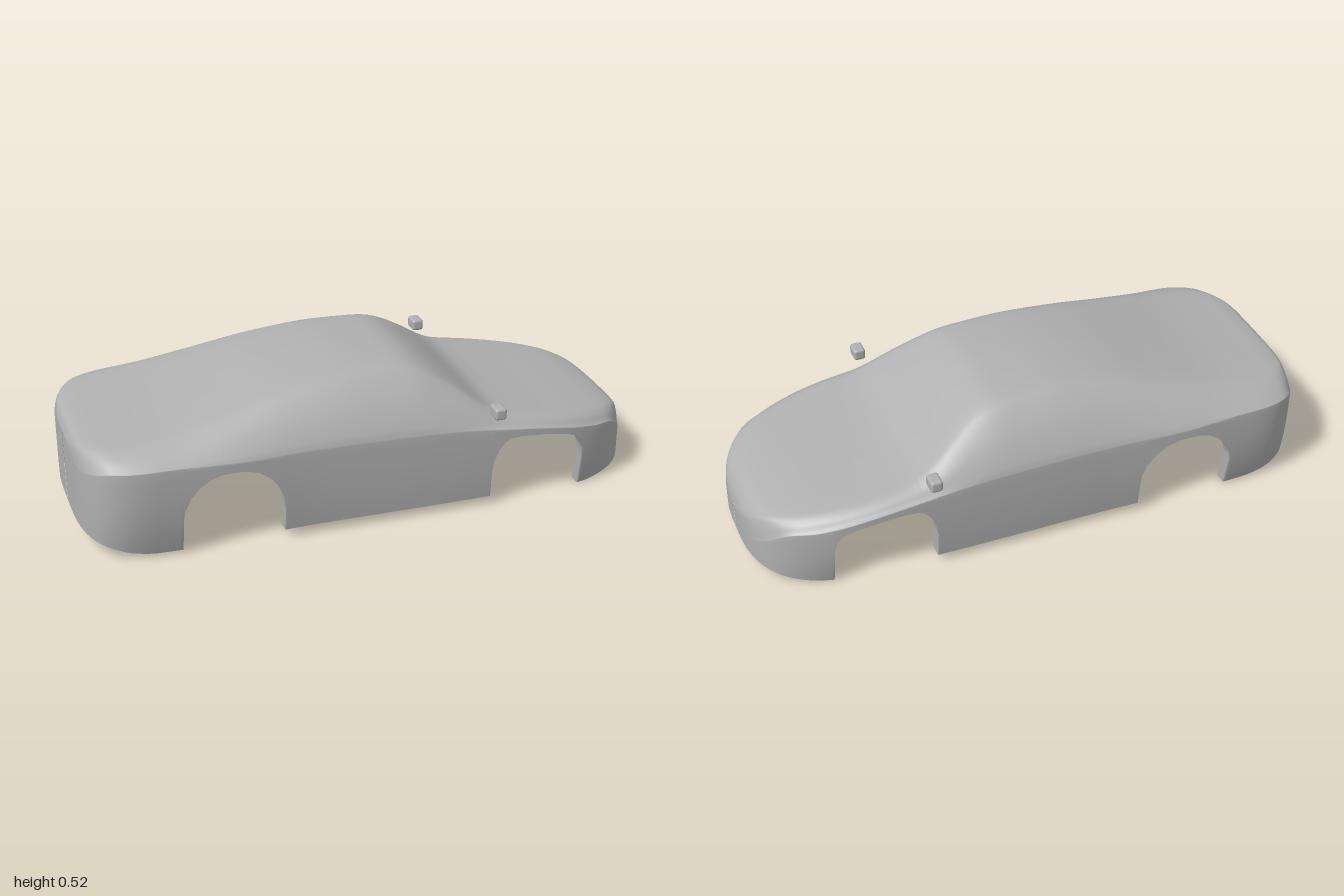
import * as THREE from 'three';
import { RoundedBoxGeometry } from 'three/addons/geometries/RoundedBoxGeometry.js';

// Smooth (Hermite) or straight lookup through [x, value] pairs
function lookup(pts, x, smooth = true) {
  const n = pts.length - 1;
  if (x <= pts[0][0]) return pts[0][1];
  if (x >= pts[n][0]) return pts[n][1];
  let i = 0;
  while (x > pts[i + 1][0]) i++;
  const [x0, y0] = pts[i], [x1, y1] = pts[i + 1];
  const h = x1 - x0, t = (x - x0) / h;
  if (!smooth) return y0 + (y1 - y0) * t;
  const slope = (k) => {
    const a = pts[Math.max(k - 1, 0)], b = pts[Math.min(k + 1, n)];
    return (b[1] - a[1]) / (b[0] - a[0]);
  };
  const t2 = t * t, t3 = t2 * t;
  return y0 * (2 * t3 - 3 * t2 + 1) + y1 * (3 * t2 - 2 * t3)
    + h * (slope(i) * (t3 - 2 * t2 + t) + slope(i + 1) * (t3 - t2));
}

// Body outlines along the length
const TOP = [[-1, 0.32], [-0.985, 0.35], [-0.95, 0.364], [-0.85, 0.378], [-0.7, 0.4], [-0.5, 0.445],
  [-0.3, 0.492], [-0.1, 0.519], [0.05, 0.519], [0.15, 0.51], [0.22, 0.482], [0.3, 0.43], [0.4, 0.356],
  [0.46, 0.328], [0.6, 0.3], [0.8, 0.268], [0.9, 0.246], [0.96, 0.222], [0.99, 0.185], [1, 0.15]];
const BELT = [[-1, 0.28], [-0.9, 0.325], [-0.4, 0.32], [0.2, 0.305], [0.4, 0.29],
  [0.6, 0.265], [0.8, 0.225], [0.9, 0.2], [1, 0.1]];
const WIDTH = [[-1, 0.415], [-0.7, 0.417], [-0.5, 0.42], [-0.2, 0.405], [0.4, 0.4], [1, 0.4]];
const ROOF = [[-1, 0.75], [-0.9, 0.76], [-0.6, 0.72], [-0.3, 0.68], [0, 0.66], [0.2, 0.68],
  [0.4, 0.82], [0.6, 0.86], [1, 0.82]];
const TUCK = [[-1, 0.08], [-0.7, 0.07], [-0.3, 0.04], [0.4, 0.04], [0.75, 0.12], [1, 0.08]];
const SILL = [[-1, 0.06], [-0.85, 0.02], [-0.78, 0.01], [-0.68, 0.01], [-0.34, 0.033], [0.4, 0.03],
  [0.75, 0], [0.8, 0.002], [0.88, 0.013], [0.95, 0.028], [1, 0.038]];

// Wheel openings, from rear edge to front edge
const ARCHES = {
  rear: [[-0.685, 0.14], [-0.68, 0.17], [-0.66, 0.215], [-0.63, 0.25], [-0.59, 0.277], [-0.55, 0.289],
    [-0.48, 0.289], [-0.43, 0.274], [-0.39, 0.245], [-0.36, 0.207], [-0.343, 0.165], [-0.339, 0.12]],
  front: [[0.402, 0.13], [0.408, 0.17], [0.425, 0.21], [0.445, 0.235], [0.47, 0.248], [0.51, 0.251],
    [0.6, 0.242], [0.68, 0.227], [0.72, 0.21], [0.742, 0.185], [0.753, 0.15], [0.755, 0.11]],
};

function halfWidth(x) {
  const r = Math.max(0, (-0.7 - x) / 0.3), f = Math.max(0, (x - 0.4) / 0.6);
  const taper = Math.pow(Math.max(0, 1 - r ** 3.5), 1 / 3.5) * Math.cbrt(Math.max(0, 1 - f ** 3));
  return Math.max(0.002, lookup(WIDTH, x) * taper);
}

// Depth of the flank at a given length and height
function flank(x, y) {
  const q = Math.max(0, (lookup(BELT, x) - y) / 0.28);
  return halfWidth(x) * (1 - lookup(TUCK, x) * q ** 2.5);
}

function lowerEdge(x) {
  for (const a of Object.values(ARCHES)) {
    if (x >= a[0][0] && x <= a[a.length - 1][0]) return lookup(a, x, false);
  }
  return lookup(SILL, x, false);
}

// Half cross-section from the lower edge up to the centre line
function halfSection(x) {
  const T = lookup(TOP, x), B = lookup(BELT, x), w = halfWidth(x), r = w * lookup(ROOF, x);
  const corner = T - 0.14 * (T - B), low = lowerEdge(x), out = [];
  for (let j = 0; j < 10; j++) {
    const y = low + (B - low) * j / 10;
    out.push([y, flank(x, y)]);
  }
  const P = (z, y) => new THREE.Vector3(0, y, z);
  const upper = new THREE.CatmullRomCurve3([
    P(w, B), P(w * 0.972, B + 0.14 * (T - B)),
    P((r + w) / 2, B + 0.55 * (T - B)),
    P(r, corner), P(r * 0.88, T - 0.07 * (T - B)),
    P(r * 0.5, T - 0.02 * (T - B)), P(0, T),
  ]);
  for (let j = 0; j <= 30; j++) {
    const p = upper.getPoint(j / 30);
    out.push([p.y, p.z]);
  }
  return out;
}

// Smooth surface through equal-length rows of points
function loft(rows) {
  const m = rows[0].length, index = [];
  for (let i = 0; i < rows.length - 1; i++) {
    for (let j = 0; j < m - 1; j++) {
      const a = i * m + j, b = a + m;
      index.push(a, b, a + 1, b, b + 1, a + 1);
    }
  }
  const g = new THREE.BufferGeometry();
  g.setAttribute('position', new THREE.Float32BufferAttribute(rows.flat(2), 3));
  g.setIndex(index);
  g.computeVertexNormals();
  return g;
}

function bodyShell() {
  const xs = [];
  for (let i = 0; i <= 130; i++) xs.push(-Math.cos(Math.PI * i / 130));
  for (const a of Object.values(ARCHES)) {
    a.forEach((p) => xs.push(p[0]));
    xs.push(a[0][0] - 0.0005, a[a.length - 1][0] + 0.0005);
  }
  xs.sort((a, b) => a - b);
  return loft(xs.map((x) => {
    const half = halfSection(x);
    const left = half.map(([y, z]) => [x, y, z]);
    const right = half.slice(0, -1).reverse().map(([y, z]) => [x, y, -z]);
    return [...left, ...right];
  }));
}

// Inward return around a wheel opening
function archLip(arch, side) {
  const first = arch[0][0], last = arch[arch.length - 1][0];
  const path = [[first, lookup(SILL, first - 0.001, false)], ...arch,
    [last, lookup(SILL, last + 0.001, false)]];
  return loft(path.map(([x, y]) => {
    const z = flank(x, y);
    return [[x, y, side * z], [x, y, side * (z - 0.045)]];
  }));
}

export function createModel() {
  const model = new THREE.Group();
  model.name = 'carBody';
  const paint = new THREE.MeshStandardMaterial({ color: 0xb0b0b0, side: THREE.DoubleSide });
  paint.name = 'grey paint';
  const add = (name, geometry) => {
    const mesh = new THREE.Mesh(geometry, paint);
    mesh.name = name;
    model.add(mesh);
    return mesh;
  };

  add('bodyShell', bodyShell());
  for (const [label, side] of [['Left', 1], ['Right', -1]]) {
    add('frontArchLip' + label, archLip(ARCHES.front, side));
    add('rearArchLip' + label, archLip(ARCHES.rear, side));
    // Door mirrors
    add('doorMirror' + label, new RoundedBoxGeometry(0.042, 0.042, 0.06, 3, 0.01))
      .position.set(0.413, 0.361, side * 0.403);
  }
  return model;
}
